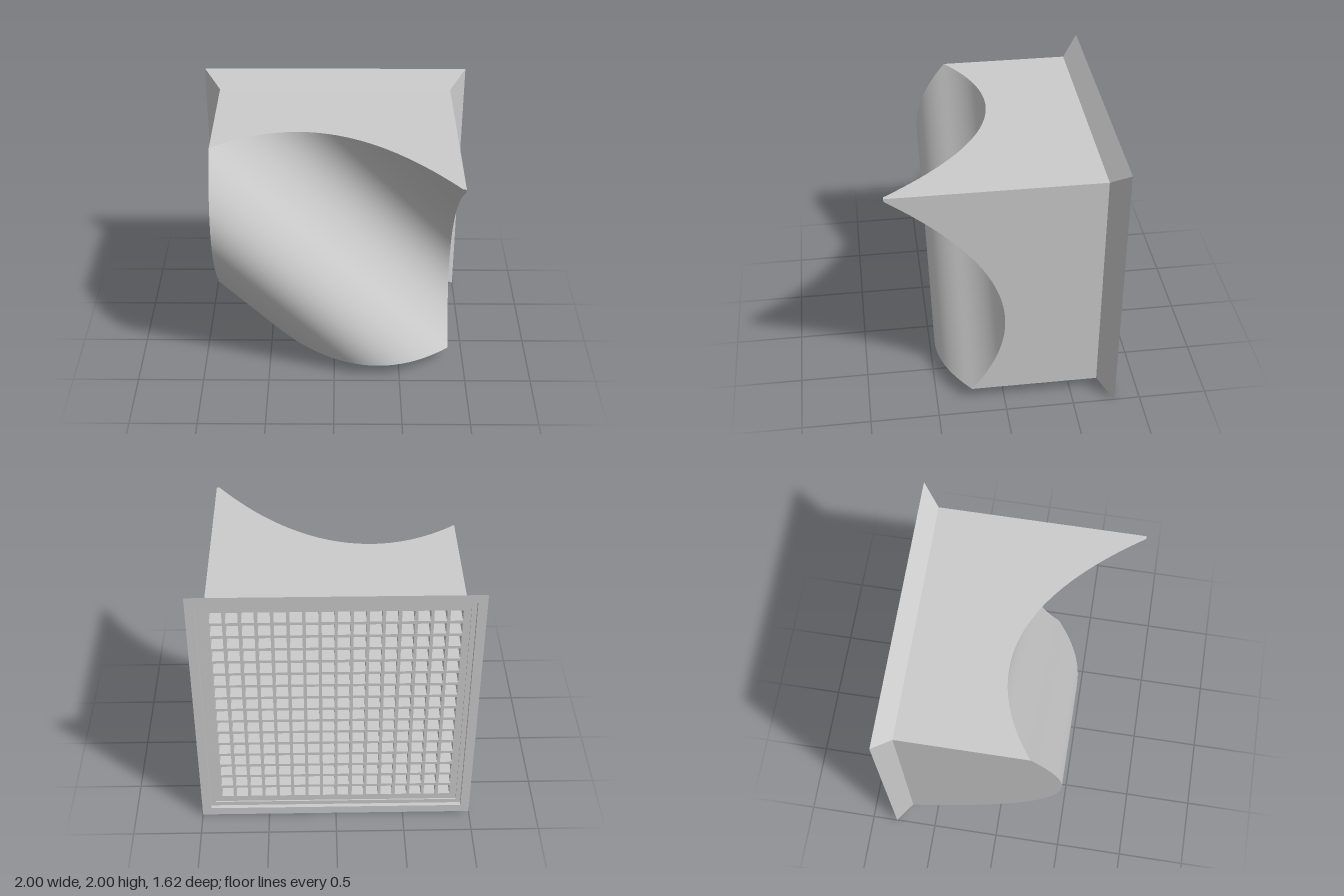
import * as THREE from 'three';

const CY = 1;            // height of the block's centre
const HALF = 0.88;       // half width of the block

// Wave running diagonally: a crest and a trough, each a parabola, joined smoothly
function waveDepth(x, y) {
  const s = x + y;
  const z = s < 0.982 ? 0.47 - 0.77 * (s - 0.455) ** 2 : 0.64 * (s - 1.615) ** 2;
  return Math.min(z, 0.808);
}

function squarePath(PathType, cx, cy, half) {
  const path = new PathType();
  path.moveTo(cx - half, cy - half);
  path.lineTo(cx + half, cy - half);
  path.lineTo(cx + half, cy + half);
  path.lineTo(cx - half, cy + half);
  path.closePath();
  return path;
}

export function createModel() {
  const group = new THREE.Group();
  const grey = new THREE.MeshStandardMaterial({ color: 0xcccccc });
  const greyDouble = new THREE.MeshStandardMaterial({ color: 0xcccccc, side: THREE.DoubleSide });

  const add = (name, geometry, material) => {
    const mesh = new THREE.Mesh(geometry, material);
    mesh.name = name;
    group.add(mesh);
    return mesh;
  };

  // Block: a box whose front face follows the wave; its back is left open for the grid
  const block = new THREE.BoxGeometry(HALF * 2, HALF * 2, 1, 80, 80, 1);
  const backFace = block.groups[5];
  block.setIndex(Array.from(block.index.array).slice(0, backFace.start));
  block.clearGroups();
  const pos = block.attributes.position;
  for (let i = 0; i < pos.count; i++) {
    const x = pos.getX(i);
    const y = pos.getY(i) + CY;
    pos.setXYZ(i, x, y, pos.getZ(i) > 0 ? waveDepth(x, y) : -0.69);
  }
  block.computeVertexNormals();
  add('waveBlock', block, grey);

  // Flared flange with a stepped recess at the back: a four-sided lathe
  const profile = [
    [0.88, -0.69], [1, -0.81], [0.935, -0.81], [0.935, -0.78],
    [0.9, -0.78], [0.9, -0.77], [0.87, -0.77],
  ].map(([half, z]) => new THREE.Vector2(half * Math.SQRT2, z));
  let flange = new THREE.LatheGeometry(profile, 4, Math.PI / 4);
  flange.rotateX(Math.PI / 2);
  flange = flange.toNonIndexed();
  flange.computeVertexNormals();
  add('backFlange', flange, greyDouble).position.y = CY;

  // Grid of square pockets in the back
  const cells = 16;
  const pitch = 1.72 / cells;
  const plate = squarePath(THREE.Shape, 0, 0, 0.872);
  for (let i = 0; i < cells; i++) {
    for (let j = 0; j < cells; j++) {
      const cx = (i - (cells - 1) / 2) * pitch;
      const cy = (j - (cells - 1) / 2) * pitch;
      plate.holes.push(squarePath(THREE.Path, cx, cy, pitch / 2 - 0.011));
    }
  }
  const grid = new THREE.ExtrudeGeometry(plate, { depth: 0.12, bevelEnabled: false });
  add('backGrid', grid, grey).position.set(0, CY, -0.77);

  // Floor of the pockets
  add('pocketFloor', new THREE.PlaneGeometry(1.72, 1.72), greyDouble).position.set(0, CY, -0.652);

  return group;
}
